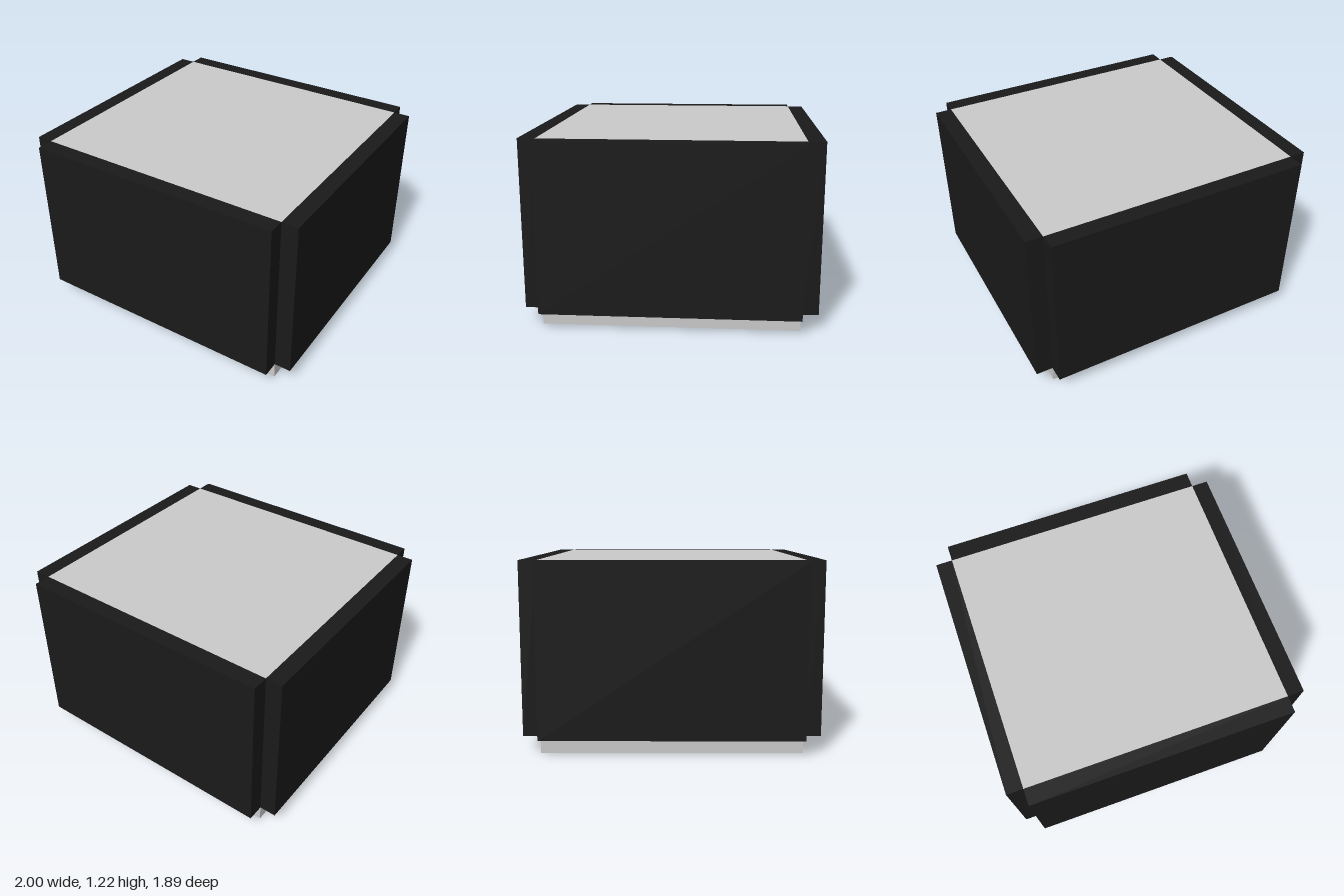
import * as THREE from 'three';

const UNIT = 1 / 9; // panel thickness and gap below the panels
const WIDTH = 16 * UNIT, DEPTH = 15 * UNIT, HEIGHT = 11 * UNIT;

const grey = new THREE.MeshStandardMaterial({ color: 0xcccccc });
const black = new THREE.MeshStandardMaterial({ color: 0x1a1a1a });

function box(name, material, w, h, d, x, y, z) {
  const mesh = new THREE.Mesh(new THREE.BoxGeometry(w, h, d), material);
  mesh.name = name;
  mesh.position.set(x, y, z);
  return mesh;
}

export function createModel() {
  const model = new THREE.Group();
  model.name = 'panelledBlock';

  // Solid core standing on the ground
  model.add(box('core', grey, WIDTH, HEIGHT, DEPTH, 0, HEIGHT / 2, 0));

  // Four raised panels, flush with the top and clear of the ground
  const panelHeight = HEIGHT - UNIT;
  const y = UNIT + panelHeight / 2;
  for (const s of [1, -1]) {
    model.add(box(s > 0 ? 'leftPanel' : 'rightPanel', black,
      UNIT, panelHeight, DEPTH, s * (WIDTH + UNIT) / 2, y, 0));
    model.add(box(s > 0 ? 'frontPanel' : 'backPanel', black,
      WIDTH, panelHeight, UNIT, 0, y, s * (DEPTH + UNIT) / 2));
  }
  return model;
}
